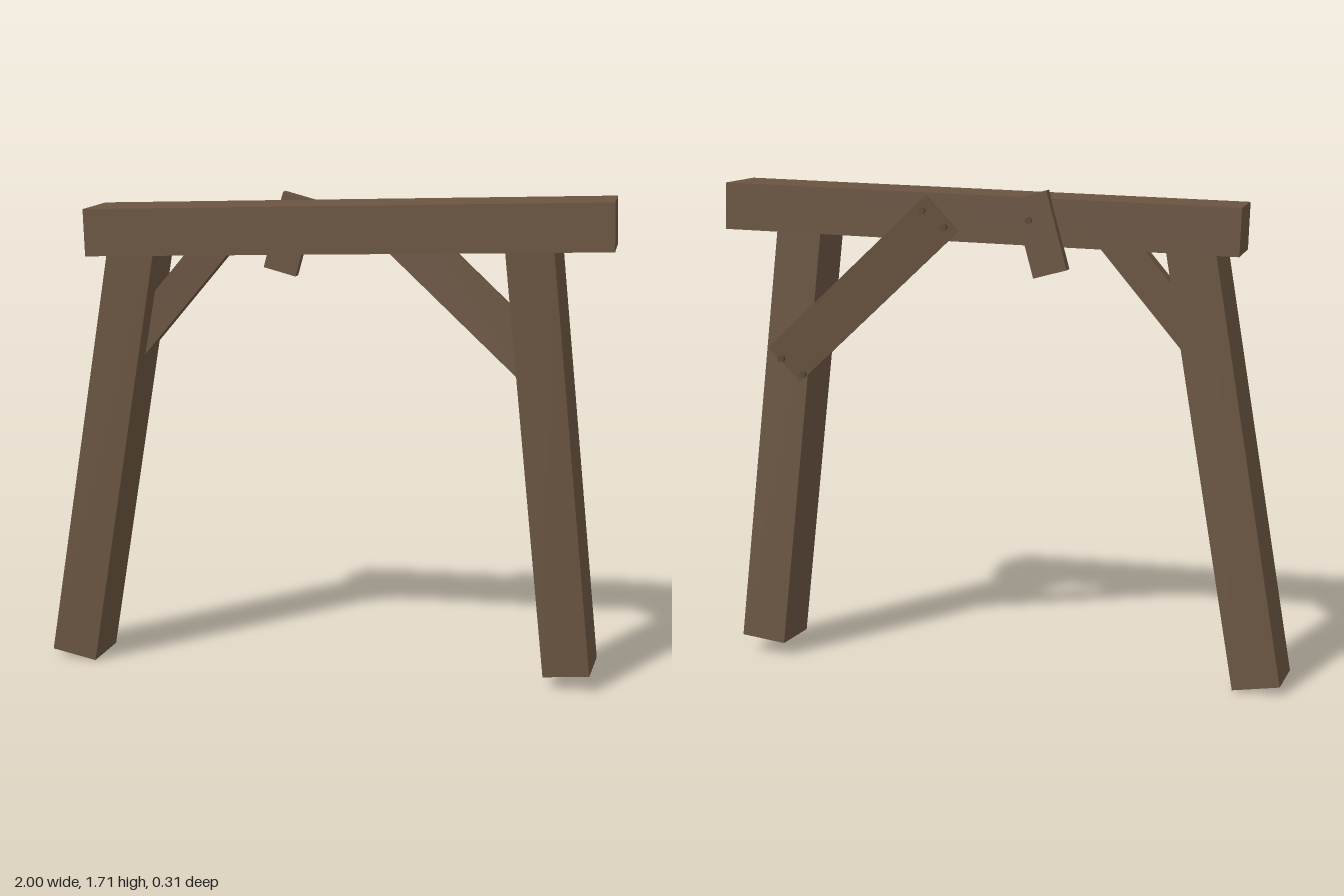
import * as THREE from 'three';

const wood = new THREE.MeshStandardMaterial({ color: 0x6a5440 });
wood.name = 'weathered wood';
const peg = new THREE.MeshStandardMaterial({ color: 0x594737 });
peg.name = 'dark peg';

// Square timber running from point a to point b; "face" is the way its front looks
function timber(name, a, b, width, depth, face = [0, 0, 1]) {
  const start = new THREE.Vector3(...a);
  const end = new THREE.Vector3(...b);
  const length = start.distanceTo(end);
  const y = end.clone().sub(start).normalize();
  const x = y.clone().cross(new THREE.Vector3(...face)).normalize();
  const z = x.clone().cross(y);
  const mesh = new THREE.Mesh(new THREE.BoxGeometry(width, length, depth), wood);
  mesh.name = name;
  mesh.quaternion.setFromRotationMatrix(new THREE.Matrix4().makeBasis(x, y, z));
  mesh.position.copy(start).add(end).multiplyScalar(0.5);
  return mesh;
}

export function createModel() {
  const model = new THREE.Group();
  model.name = 'timberFrame';

  // Crossbeam, slightly out of level
  model.add(timber('crossbeam', [-0.805, 1.581, 0.025], [0.997, 1.635, 0.025], 0.162, 0.26));

  // Splayed legs, twisted a little and leaning forward at the top
  model.add(timber('rightLeg', [-0.908, 0.021, -0.033], [-0.642, 1.55, 0.009], 0.168, 0.196, [-0.09, 0, 1]));
  model.add(timber('leftLeg', [0.886, 0.06, -0.03], [0.721, 1.6, 0.009], 0.164, 0.196, [-0.09, 0, 1]));

  // Inner brace set between the right leg and the beam
  model.add(timber('innerBrace', [-0.7, 1.15, 0], [-0.36, 1.555, 0], 0.115, 0.07));

  // Board nailed across the back of the left leg and beam
  model.add(timber('backBrace', [0.79, 1.083, -0.103], [0.21, 1.625, -0.105], 0.165, 0.042, [0.07, 0.07, 1]));

  // Short tilted cleat on the back of the beam
  model.add(timber('cleat', [-0.173, 1.43, -0.121], [-0.102, 1.695, -0.121], 0.119, 0.046));

  // Peg heads on the back
  const pegs = [
    [0.275, 1.635, -0.135], [0.2, 1.58, -0.13],
    [0.795, 1.105, -0.13], [0.72, 1.05, -0.12],
    [-0.1, 1.61, -0.144],
  ];
  for (const [x, y, z] of pegs) {
    const head = new THREE.Mesh(new THREE.CylinderGeometry(0.012, 0.012, 0.025, 8), peg);
    head.name = 'pegHead';
    head.rotation.x = Math.PI / 2;
    head.position.set(x, y, z);
    model.add(head);
  }
  return model;
}
